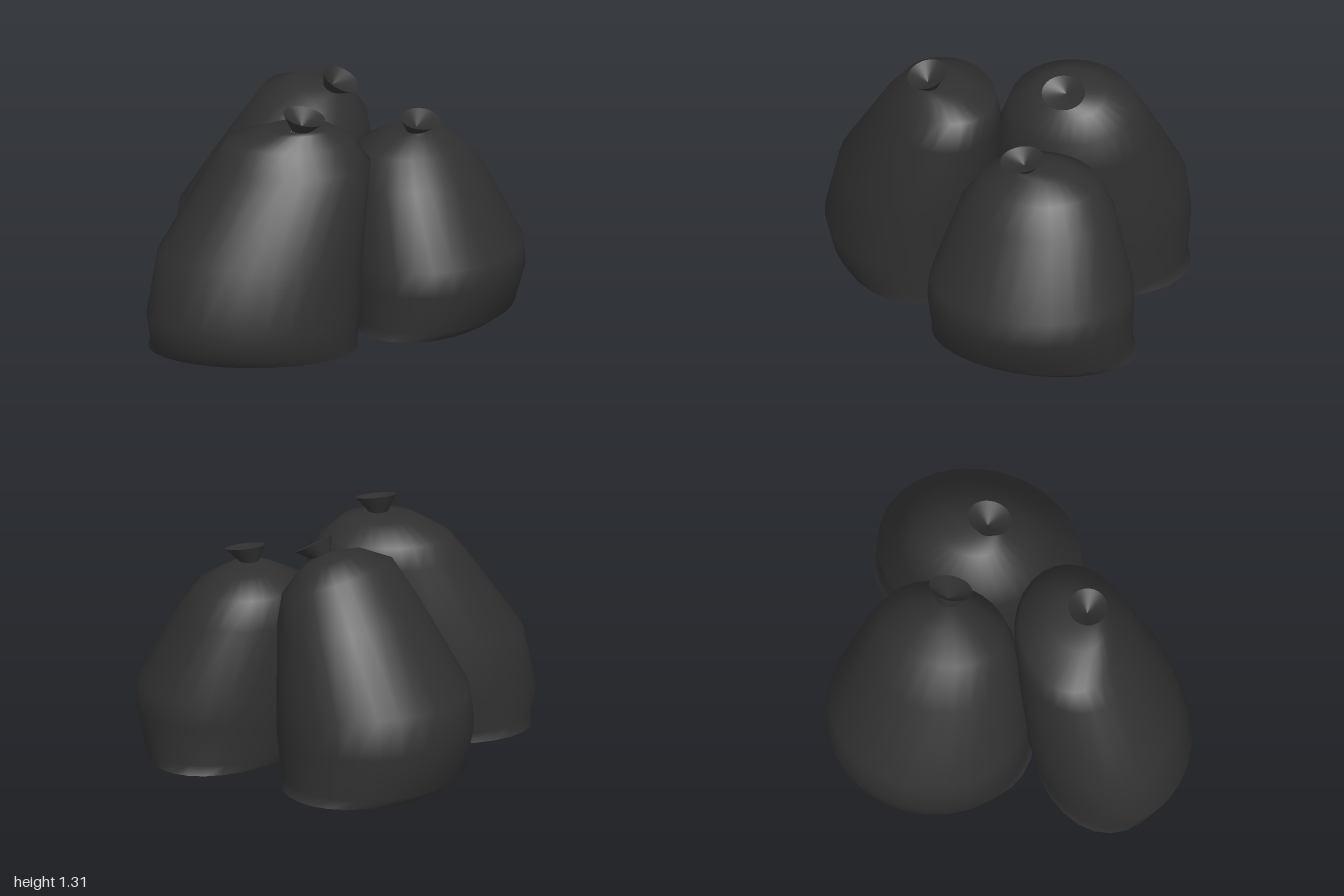
import * as THREE from 'three';

const SIDES = 28;
const material = new THREE.MeshStandardMaterial({ color: 0x303030, roughness: 0.8 });

// Skin a stack of elliptical rings: [x, y, z, radiusX, radiusZ, slopeX, slopeZ]
function loft(name, rings, skew) {
  const pos = [], index = [];
  for (const [cx, cy, cz, rx, rz, sx = 0, sz = 0] of rings) {
    for (let i = 0; i < SIDES; i++) {
      const t = (i / SIDES) * Math.PI * 2;
      const dx = rx * Math.cos(t), dz = rz * Math.sin(t) + skew * dx;
      pos.push(cx + dx, cy + sx * dx + sz * dz, cz + dz);
    }
  }
  for (let r = 0; r < rings.length - 1; r++) {
    for (let i = 0; i < SIDES; i++) {
      const a = r * SIDES + i, b = r * SIDES + ((i + 1) % SIDES);
      index.push(a, a + SIDES, b, b, a + SIDES, b + SIDES);
    }
  }
  const geometry = new THREE.BufferGeometry();
  geometry.setAttribute('position', new THREE.Float32BufferAttribute(pos, 3));
  geometry.setIndex(index);
  geometry.computeVertexNormals();
  const mesh = new THREE.Mesh(geometry, material);
  mesh.name = name;
  return mesh;
}

// A tied sack: body rings, then the pinched neck and the flared rim
function makeBag(name, body, neck, rim, skew = 0) {
  const bag = new THREE.Group();
  bag.name = name;
  const [bx, by, bz] = body[0];
  const pit = [neck[0], neck[1] + 0.02, neck[2], 0, 0];
  bag.add(
    loft('sackBody', [...body, neck], skew),
    loft('sackBase', [[bx, by, bz, 0, 0], body[0]], skew),
    loft('tiedNeck', [neck, rim], 0),
    loft('neckMouth', [rim, pit], 0),
  );
  return bag;
}

export function createModel() {
  const group = new THREE.Group();
  group.name = 'rubbishBags';

  // Rear bag on the right, leaning towards +x
  group.add(makeBag('backRightBag', [
    [-0.43, 0, -0.42, 0.44, 0.575],
    [-0.45, 0.05, -0.42, 0.48, 0.545],
    [-0.46, 0.29, -0.42, 0.525, 0.56],
    [-0.442, 0.51, -0.415, 0.512, 0.545],
    [-0.285, 0.9, -0.41, 0.375, 0.43, -0.13],
    [-0.205, 1.1, -0.41, 0.275, 0.35, -0.36],
    [-0.155, 1.185, -0.41, 0.155, 0.2, -0.42],
  ], [-0.1, 1.2, -0.41, 0.05, 0.055, -0.5], [-0.05, 1.255, -0.41, 0.09, 0.12, -0.6]));

  // Rear bag on the left, the shortest
  group.add(makeBag('backLeftBag', [
    [0.47, 0, -0.415, 0.37, 0.575],
    [0.495, 0.05, -0.41, 0.415, 0.555],
    [0.512, 0.26, -0.405, 0.463, 0.568],
    [0.502, 0.4, -0.41, 0.463, 0.56],
    [0.39, 0.8, -0.405, 0.36, 0.425],
    [0.36, 0.95, -0.41, 0.28, 0.32],
    [0.375, 1.03, -0.41, 0.14, 0.17],
  ], [0.42, 1.045, -0.34, 0.055, 0.055], [0.445, 1.115, -0.335, 0.105, 0.12, -0.2, -0.12]));

  // Front bag, leaning back
  group.add(makeBag('frontBag', [
    [-0.19, 0, 0.49, 0.545, 0.41],
    [-0.18, 0.05, 0.505, 0.535, 0.435],
    [-0.18, 0.2, 0.515, 0.55, 0.47],
    [-0.16, 0.55, 0.455, 0.53, 0.445],
    [-0.055, 1.0, 0.29, 0.415, 0.34],
    [-0.075, 1.12, 0.26, 0.325, 0.275],
    [-0.01, 1.2, 0.29, 0.18, 0.165],
  ], [0.03, 1.205, 0.335, 0.055, 0.055], [0.045, 1.285, 0.335, 0.115, 0.105, -0.22, -0.12], -0.2));

  return group;
}
